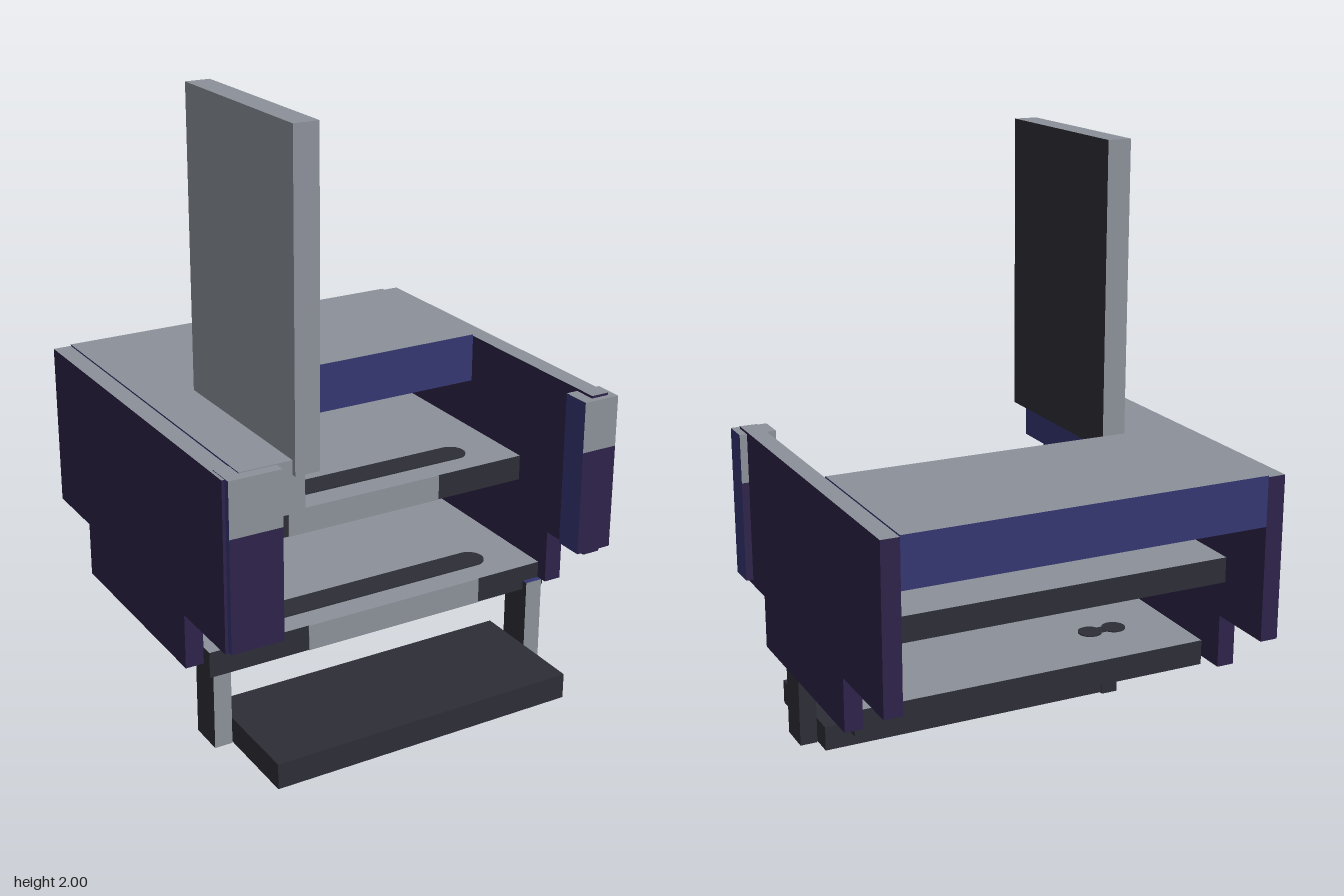
import * as THREE from 'three';

export function createModel() {
  const group = new THREE.Group();
  const mat = (name, color) => {
    const m = new THREE.MeshStandardMaterial({ color });
    m.name = name;
    return m;
  };
  const gray = mat('light gray', 0x8c9099);
  const dark = mat('charcoal', 0x2d2e36);
  const purple = mat('deep purple', 0x2e2249);
  const blue = mat('indigo blue', 0x343672);

  // Box from min/max ranges; faces ordered +x, -x, +y, -y, +z, -z
  function box(name, [x0, x1], [y0, y1], [z0, z1], material) {
    const mesh = new THREE.Mesh(new THREE.BoxGeometry(x1 - x0, y1 - y0, z1 - z0), material);
    mesh.position.set((x0 + x1) / 2, (y0 + y1) / 2, (z0 + z1) / 2);
    mesh.name = name;
    group.add(mesh);
  }

  // Flat rounded bar lying on a shelf
  function slot(name, x0, x1, z, r, y) {
    const s = new THREE.Shape();
    s.absarc(x1 - r, 0, r, -Math.PI / 2, Math.PI / 2, false);
    s.absarc(x0 + r, 0, r, Math.PI / 2, Math.PI * 1.5, false);
    const geo = new THREE.ExtrudeGeometry(s, { depth: 0.004, bevelEnabled: false, curveSegments: 8 });
    geo.rotateX(-Math.PI / 2);
    const mesh = new THREE.Mesh(geo, dark);
    mesh.position.set(0, y, z);
    mesh.name = name;
    group.add(mesh);
  }

  // Side panels: tall upper part with a shorter skirt below
  const panelMats = [purple, purple, gray, purple, purple, purple];
  box('rightPanel', [-0.68, -0.62], [0.5, 1.04], [-0.625, 0.6], panelMats);
  box('rightPanelSkirt', [-0.68, -0.62], [0.32, 0.5], [-0.39, 0.33], purple);
  box('leftPanel', [0.59, 0.65], [0.5, 1.04], [-0.625, 0.6], panelMats);
  box('leftPanelSkirt', [0.59, 0.65], [0.32, 0.5], [-0.31, 0.41], purple);

  // Front posts with light upper caps
  for (const [side, xs, y0, y1] of [['right', [-0.67, -0.5], 0.505, 1.042], ['left', [0.55, 0.675], 0.52, 1.032]]) {
    box(side + 'Post', xs, [y0, 0.865], [0.525, 0.62], [blue, blue, purple, purple, purple, purple]);
    box(side + 'PostCap', xs, [0.865, y1], [0.525, 0.62], [blue, blue, gray, gray, gray, gray]);
  }

  // L-shaped top: rear slab and forward arm
  box('topSlab', [-0.62, 0.59], [0.88, 1.045], [-0.625, -0.045], [blue, blue, gray, purple, blue, blue]);
  box('topArm', [-0.62, -0.41], [0.88, 1.045], [-0.045, 0.585], [blue, blue, gray, purple, gray, blue]);

  // Upright board
  box('uprightBoard', [-0.45, -0.37], [1.0, 2.0], [-0.045, 0.6], [dark, gray, gray, gray, gray, gray]);

  // Shelves with a light front inset and dark slots
  const shelfMats = [dark, dark, gray, dark, dark, dark];
  const shelves = [
    ['upper', [-0.62, 0.59], 0.625, 0.71, 0.245, 0.27],
    ['lower', [-0.62, 0.61], 0.29, 0.375, 0.37, 0.35],
  ];
  for (const [name, xs, y0, y1, front, insetEnd] of shelves) {
    box(name + 'Shelf', xs, [y0, y1], [front - 0.66, front], shelfMats);
    box(name + 'ShelfFrontInset', [-0.28, insetEnd], [y0, y1], [front - 0.004, front + 0.003], gray);
    slot(name + 'ShelfSlot', -0.45, 0.45, front - 0.128, 0.048, y1);
  }
  slot('upperShelfSmallSlot', -0.45, -0.29, -0.19, 0.032, 0.71);
  // Pair of round marks joined by a bar
  slot('lowerShelfMarkA', -0.45, -0.37, -0.07, 0.04, 0.375);
  slot('lowerShelfMarkB', -0.36, -0.28, -0.07, 0.04, 0.375);
  box('lowerShelfMarkBar', [-0.4, -0.33], [0.374, 0.378], [-0.09, -0.05], dark);

  // Legs and front step
  const legMats = [dark, dark, blue, dark, gray, dark];
  box('rightLeg', [-0.58, -0.52], [0, 0.32], [0.19, 0.31], legMats);
  box('leftLeg', [0.53, 0.59], [0, 0.32], [0.275, 0.39], legMats);
  box('frontStep', [-0.52, 0.53], [0.005, 0.09], [0.195, 0.61], dark);

  return group;
}
